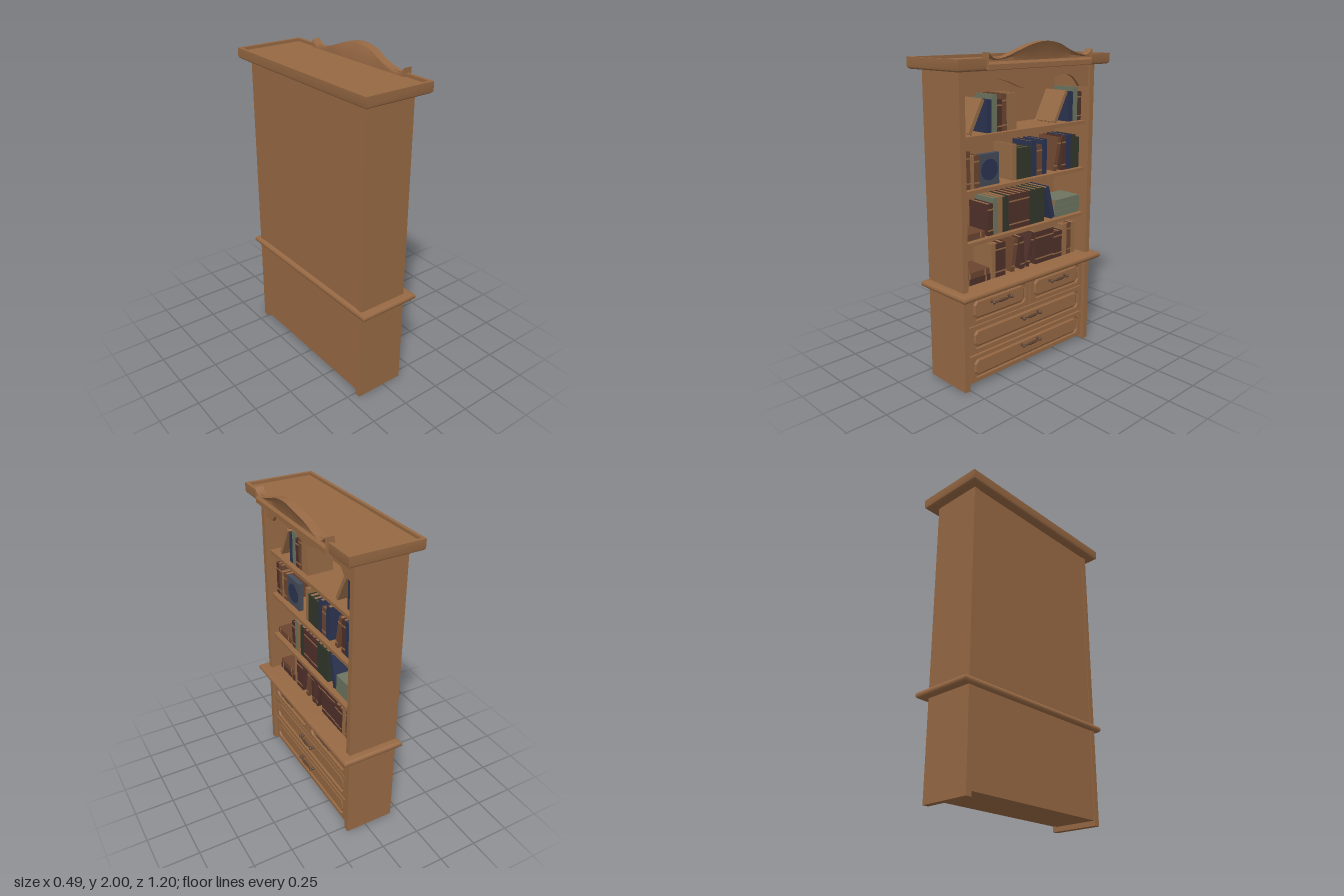
import * as THREE from 'three';
import { toCreasedNormals } from 'three/addons/utils/BufferGeometryUtils.js';

const paint = (name, color) => Object.assign(new THREE.MeshStandardMaterial({ color }), { name });
const M = {
  wood: paint('oak', 0x966843), metal: paint('dark bronze', 0x5a4030),
  navy: paint('navy', 0x2b3350), slate: paint('slate', 0x444a58),
  maroon: paint('maroon', 0x4f302a), green: paint('dark green', 0x31372a),
  sage: paint('sage', 0x6c745f), tan: paint('tan', 0x966a45), brown: paint('brown', 0x6b4530),
};

function add(parent, name, geometry, material, x = 0, y = 0, z = 0) {
  const mesh = new THREE.Mesh(geometry, material);
  mesh.name = name;
  mesh.position.set(x, y, z);
  parent.add(mesh);
  return mesh;
}

// Box given by its limits on each axis
function box(parent, name, material, [x0, x1], [y0, y1], [z0, z1]) {
  return add(parent, name, new THREE.BoxGeometry(x1 - x0, y1 - y0, z1 - z0), material,
    (x0 + x1) / 2, (y0 + y1) / 2, (z0 + z1) / 2);
}

// Skin closed cross-sections and cap both ends
function loft(rings, crease) {
  const n = rings[0].length, last = (rings.length - 1) * n, index = [];
  for (let r = 0; r < rings.length - 1; r++) {
    for (let i = 0; i < n; i++) {
      const a = r * n + i, b = r * n + (i + 1) % n;
      index.push(a, b, b + n, a, b + n, a + n);
    }
  }
  for (let i = 1; i < n - 1; i++) index.push(0, i + 1, i, last, last + i, last + i + 1);
  const g = new THREE.BufferGeometry();
  g.setAttribute('position', new THREE.Float32BufferAttribute(rings.flat(2), 3));
  g.setIndex(index);
  return toCreasedNormals(g, crease);
}

// Mitred rectangular moulding from a profile of [inset, y]
function moulding(profile, x, z0, z1) {
  return loft(profile.map(([i, y]) => [[-x + i, y, z1 - i], [x - i, y, z1 - i], [x - i, y, z0 + i], [-x + i, y, z0 + i]]), 0.6);
}

// Rectangle with clipped corners
function clipped(Type, w, h, c) {
  const x = w / 2, y = h / 2;
  return new Type([[-x + c, -y], [x - c, -y], [x, -y + c], [x, y - c], [x - c, y], [-x + c, y], [-x, y - c], [-x, -y + c]]
    .map(p => new THREE.Vector2(...p)));
}

function handle() {
  const g = new THREE.Group();
  g.name = 'handle';
  const profile = [[0, -0.085], [0.004, -0.08], [0.004, -0.05], [0.009, -0.02], [0.009, 0.02], [0.004, 0.05], [0.004, 0.08], [0, 0.085]];
  add(g, 'grip', new THREE.LatheGeometry(profile.map(p => new THREE.Vector2(...p)), 12), M.metal, 0, 0, 0.03).rotation.z = Math.PI / 2;
  for (const s of [-1, 1]) {
    add(g, 'knob', new THREE.SphereGeometry(0.011, 12, 8), M.metal, s * 0.07, 0, 0.028);
    add(g, 'post', new THREE.CylinderGeometry(0.006, 0.009, 0.03, 10), M.metal, s * 0.07, 0, 0.014).rotation.x = Math.PI / 2;
  }
  return g;
}

function drawer(x, y, w, h, pull) {
  const g = new THREE.Group();
  g.name = 'drawer';
  g.position.set(x, y, 0.098);
  const frame = new THREE.Shape([[-1, -1], [1, -1], [1, 1], [-1, 1]].map(([a, b]) => new THREE.Vector2(a * w / 2, b * h / 2)));
  frame.holes.push(clipped(THREE.Path, w - 0.06, h - 0.05, 0.022));
  add(g, 'drawerFrame', new THREE.ExtrudeGeometry(frame, { depth: 0.018, bevelEnabled: false }), M.wood);
  add(g, 'drawerPanel', new THREE.ExtrudeGeometry(clipped(THREE.Shape, w - 0.1, h - 0.09, 0.018),
    { depth: 0.006, bevelThickness: 0.008, bevelSize: 0.012, bevelSegments: 1 }), M.wood);
  const grip = handle();
  grip.position.set(0, pull - y, 0.012);
  g.add(grip);
  return g;
}

// Book with boards, spine and pages; x is the lower left corner, lean is in degrees to the right
function book(parent, x, y, color, w, h, lean = 0) {
  const g = new THREE.Group(), a = THREE.MathUtils.degToRad(lean), t = 0.004, m = M[color];
  g.name = 'book';
  g.position.set(x + w / 2 * Math.cos(a), y + w / 2 * Math.sin(Math.abs(a)), 0);
  g.rotation.z = -a;
  const r = w / 2 - 0.0005;
  box(g, 'board', m, [-r, -r + t], [0, h], [-0.1, 0.06]);
  box(g, 'board', m, [r - t, r], [0, h], [-0.1, 0.06]);
  box(g, 'spine', m, [-r, r], [0, h], [0.06, 0.066]);
  box(g, 'pages', M.tan, [-r + t, r - t], [0.004, h - 0.006], [-0.095, 0.06]);
  if (color === 'maroon' || color === 'brown') {
    for (const f of [0.14, 0.8]) box(g, 'spineBand', M.tan, [-r, r], [h * f, h * f + 0.008], [0.066, 0.068]);
  }
  parent.add(g);
}

export function createModel() {
  const model = new THREE.Group(), c = new THREE.Group();
  model.name = 'bookcase';
  c.name = 'cabinet';
  c.rotation.y = Math.PI / 2; // the open side faces +x
  model.add(c);

  // Carcass
  for (const s of [-1, 1]) box(c, 'sidePanel', M.wood, s < 0 ? [-0.54, -0.502] : [0.502, 0.54], [0, 1.86], [-0.19, 0.13]);
  box(c, 'backPanel', M.wood, [-0.502, 0.502], [0.03, 1.86], [-0.186, -0.165]);
  box(c, 'drawerCase', M.wood, [-0.502, 0.502], [0.03, 0.59], [-0.165, 0.1]);
  for (const top of [0.897, 1.198, 1.5]) box(c, 'shelf', M.wood, [-0.502, 0.502], [top - 0.022, top], [-0.165, 0.1]);

  // Waist moulding with a rounded edge
  const round = Array.from({ length: 9 }, (_, i) => {
    const a = (i / 8 - 0.5) * Math.PI;
    return [0.02 * (1 - Math.cos(a)), 0.604 + 0.021 * Math.sin(a)];
  });
  add(c, 'waistMoulding', moulding(round, 0.585, -0.21, 0.19), M.wood);

  // Cornice with a sunken top
  add(c, 'cornice', moulding([[0.012, 1.853], [0.003, 1.86], [0, 1.87], [0, 1.918], [0.02, 1.918], [0.02, 1.9]], 0.6, -0.245, 0.2), M.wood);

  // Wavy crest, leaning outward where it is tallest
  const half = [[0, 2], [0.11, 1.984], [0.2, 1.952], [0.3, 1.92], [0.36, 1.914], [0.39, 1.928], [0.41, 1.948]];
  const line = [...half.slice(1).reverse().map(([x, y]) => [-x, y]), ...half];
  const crest = new THREE.CatmullRomCurve3(line.map(([x, y]) => new THREE.Vector3(x, y, 0))).getPoints(72);
  add(c, 'crest', loft(crest.map(({ x, y }) => {
    const o = 0.02 * THREE.MathUtils.smoothstep(y, 1.94, 2), mid = (y + 1.9) / 2;
    return [[0.217, 1.858], [0.165, 1.858], [0.165, mid], [0.168 + o, y], [0.22 + o, y], [0.205 + o / 2, mid], [0.205, 1.9], [0.217, 1.885]]
      .map(([z, h]) => [x, h, z]);
  }), 0.6), M.wood);

  // Scalloped valance
  const v = new THREE.Shape();
  v.moveTo(-0.502, 1.86);
  v.lineTo(-0.502, 1.72);
  v.lineTo(-0.42, 1.72);
  v.splineThru([[-0.39, 1.755], [-0.34, 1.79], [-0.27, 1.8], [-0.18, 1.782], [-0.08, 1.745], [0, 1.733], [0.08, 1.745],
    [0.18, 1.782], [0.27, 1.8], [0.34, 1.79], [0.39, 1.755], [0.42, 1.72]].map(p => new THREE.Vector2(...p)));
  v.lineTo(0.502, 1.72);
  v.lineTo(0.502, 1.86);
  add(c, 'valance', new THREE.ExtrudeGeometry(v, { depth: 0.02, bevelEnabled: false, curveSegments: 48 }), M.wood, 0, 0, 0.095);

  // Drawers: [x, y, width, height, handle height]
  for (const d of [[-0.247, 0.488, 0.482, 0.18, 0.51], [0.247, 0.488, 0.482, 0.18, 0.51], [0, 0.305, 0.976, 0.172, 0.33], [0, 0.118, 0.976, 0.172, 0.145]]) {
    c.add(drawer(...d));
  }

  // Upright rows: shelf height, start, then [colour, width, height, count]
  const rows = [
    [1.5, -0.297, ['navy', 0.037, 0.185], ['sage', 0.042, 0.21], ['maroon', 0.037, 0.18], ['brown', 0.037, 0.21], ['tan', 0.038, 0.21, 2]],
    [1.5, 0.377, ['navy', 0.042, 0.185], ['sage', 0.042, 0.21], ['maroon', 0.037, 0.18]],
    [1.198, -0.495, ['maroon', 0.037, 0.215], ['brown', 0.037, 0.215], ['tan', 0.027, 0.185], ['brown', 0.04, 0.185]],
    [1.198, -0.1, ['tan', 0.032, 0.215], ['green', 0.042, 0.185, 3], ['navy', 0.042, 0.215], ['brown', 0.048, 0.185], ['navy', 0.042, 0.215]],
    [1.198, 0.324, ['maroon', 0.037, 0.215], ['navy', 0.047, 0.22], ['green', 0.042, 0.215], ['green', 0.037, 0.195]],
    [0.897, -0.297, ['maroon', 0.042, 0.19], ['sage', 0.037, 0.22], ['tan', 0.037, 0.22], ['green', 0.05, 0.215], ['maroon', 0.043, 0.215, 4], ['green', 0.044, 0.215, 3]],
    [0.625, -0.27, ['tan', 0.03, 0.215], ['maroon', 0.041, 0.21, 2]],
    [0.625, 0.096, ['maroon', 0.041, 0.21, 4], ['maroon', 0.04, 0.175, 2]],
    [0.625, 0.345, ['tan', 0.04, 0.21], ['brown', 0.04, 0.21], ['tan', 0.042, 0.21]],
  ];
  for (const [y, start, ...run] of rows) {
    let x = start;
    for (const [color, w, h, count = 1] of run) {
      for (let i = 0; i < count; i++, x += w) book(c, x, y, color, w, h);
    }
  }

  // Leaning and lying books: [x, y, colour, thickness, height, lean]
  for (const b of [
    [-0.43, 1.5, 'tan', 0.024, 0.21, 28], [0.25, 1.5, 'tan', 0.024, 0.21, 28],
    [0.25, 1.198, 'brown', 0.03, 0.215, 11], [0.235, 0.897, 'navy', 0.035, 0.215, -15],
    [-0.117, 0.625, 'brown', 0.032, 0.21, 9], [-0.032, 0.625, 'maroon', 0.035, 0.21, -3], [0.01, 0.625, 'maroon', 0.03, 0.21, 15],
    [-0.5, 0.897, 'brown', 0.04, 0.18, 90], [-0.48, 0.625, 'maroon', 0.04, 0.2, 90], [-0.47, 0.665, 'brown', 0.038, 0.18, 90],
    [0.085, 0.838, 'tan', 0.027, 0.21, 90],
    ...[0, 1, 2].map(i => [0.27, 0.897 + i * 0.038, 'sage', 0.038, 0.23, 90]),
  ]) book(c, ...b);

  // Book shown cover first, with a round medallion
  box(c, 'displayedBook', M.slate, [-0.35, -0.2], [1.198, 1.383], [0.03, 0.06]);
  add(c, 'medallion', new THREE.CylinderGeometry(0.062, 0.062, 0.004, 24), M.navy, -0.275, 1.29, 0.061).rotation.x = Math.PI / 2;

  return model;
}
